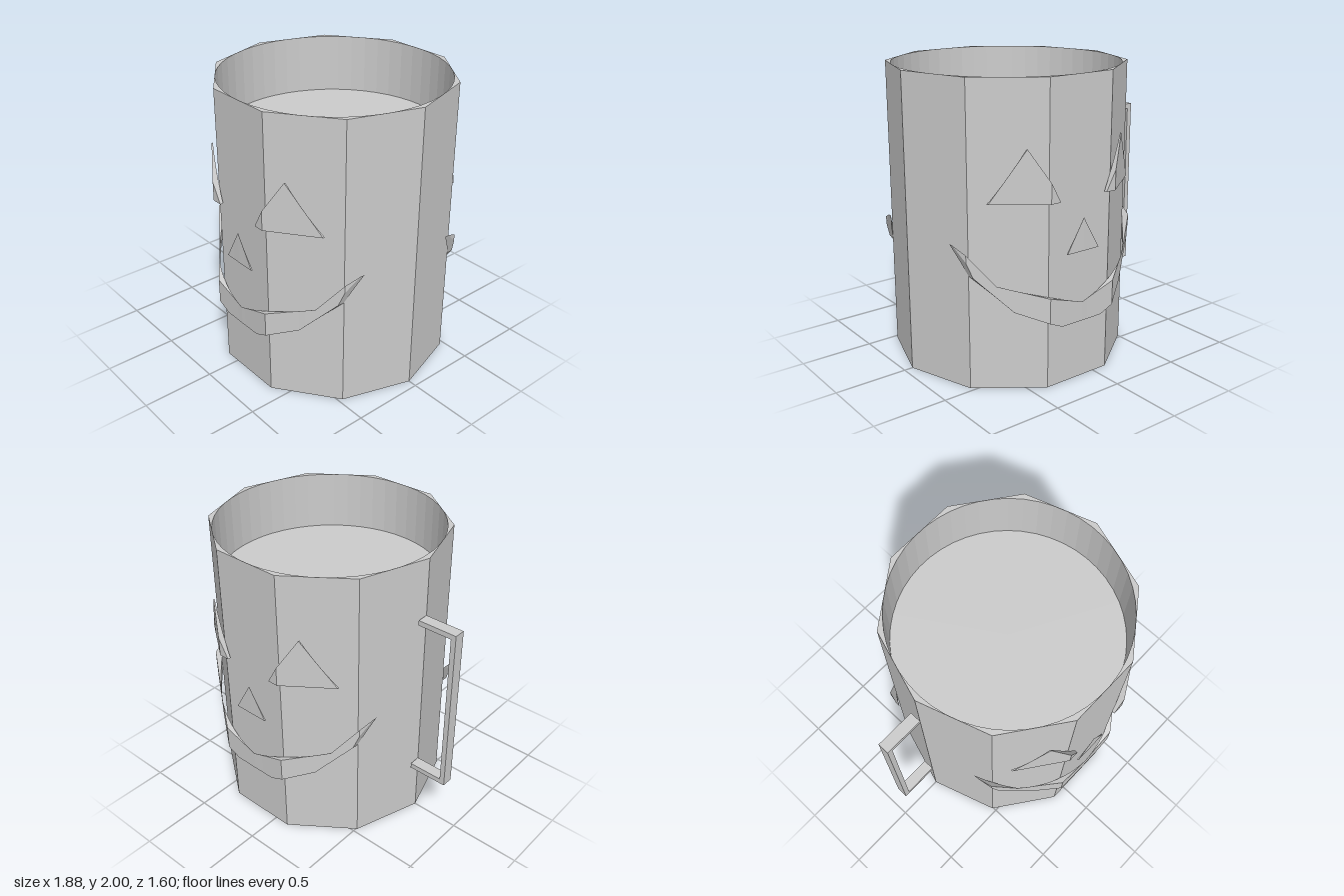
import * as THREE from 'three';

const SIDES = 10, R = 0.8, BORE = 0.76, HEIGHT = 2, FLOOR = 1.6;
const CX = 0.14; // mug axis, shifted so that mug and handle are centred together
const FACE_R = R / Math.cos(Math.PI / SIDES); // ten-sided shell that carries the faces

const grey = (side = THREE.FrontSide) =>
  new THREE.MeshStandardMaterial({ color: 0xcccccc, flatShading: true, side });

function add(parent, name, geometry, material = grey()) {
  const mesh = new THREE.Mesh(geometry, material);
  mesh.name = name;
  parent.add(mesh);
  return mesh;
}

// piecewise linear height of a polyline [[x, y], ...] at x
function along(line, x) {
  for (let i = 1; i < line.length; i++) {
    const [x0, y0] = line[i - 1], [x1, y1] = line[i];
    if (x <= x1 + 1e-9) return y0 + (y1 - y0) * (x - x0) / (x1 - x0);
  }
  return line[line.length - 1][1];
}

// front half outline of the ten-sided shell, as [x, z]
const shell = [];
for (let i = SIDES / 2; i >= 0; i--) {
  const a = i * 2 * Math.PI / SIDES;
  shell.push([FACE_R * Math.cos(a), FACE_R * Math.sin(a)]);
}

// Facial feature between a lower and an upper line: flat facets outside, round inside
function featureGeometry(lower, upper) {
  const x0 = lower[0][0], x1 = lower[lower.length - 1][0];
  const xs = [...lower, ...upper, ...shell].map((p) => p[0]);
  const steps = Math.ceil((x1 - x0) / 0.04);
  for (let i = 0; i <= steps; i++) xs.push(x0 + (x1 - x0) * i / steps);
  const cuts = xs.filter((x) => x >= x0 - 1e-9 && x <= x1 + 1e-9)
    .sort((a, b) => a - b).filter((x, i, s) => i === 0 || x - s[i - 1] > 1e-5);
  const pos = [], index = [];
  cuts.forEach((x, i) => {
    const lo = along(lower, x), hi = along(upper, x);
    const zIn = Math.sqrt(R * R - x * x), zOut = Math.max(along(shell, x), zIn + 0.001);
    pos.push(x, lo, zOut, x, hi, zOut, x, hi, zIn, x, lo, zIn);
    if (i === 0) return;
    for (let k = 0; k < 4; k++) {
      const a = (i - 1) * 4 + k, b = (i - 1) * 4 + (k + 1) % 4;
      index.push(a, a + 4, b, b, a + 4, b + 4);
    }
  });
  const g = new THREE.BufferGeometry();
  g.setAttribute('position', new THREE.Float32BufferAttribute(pos, 3));
  g.setIndex(index);
  g.computeVertexNormals();
  return g;
}

const triangle = (x, y, half, h) =>
  featureGeometry([[x - half, y], [x + half, y]], [[x - half, y], [x, y + h], [x + half, y]]);

function createFace(name) {
  const face = new THREE.Group();
  face.name = name;
  add(face, 'rightEye', triangle(-0.377, 1.24, 0.192, 0.34));
  add(face, 'leftEye', triangle(0.377, 1.24, 0.192, 0.34));
  add(face, 'nose', triangle(0, 0.89, 0.128, 0.22));
  const half = [[0.16, 0.415], [0.442, 0.54], [0.646, 0.77], [0.713, 0.965]];
  const mirror = half.map(([x, y]) => [-x, y]).reverse();
  add(face, 'mouth', featureGeometry(
    [...mirror, ...half],
    [[-0.713, 0.965], [-0.53, 0.715], [0, 0.545], [0.53, 0.715], [0.713, 0.965]]));
  return face;
}

export function createModel() {
  const model = new THREE.Group();
  model.name = 'mug';
  const body = new THREE.Group();
  body.name = 'body';
  body.position.x = CX;
  model.add(body);

  // ten-sided outer wall and base
  add(body, 'outerWall',
    new THREE.CylinderGeometry(R, R, HEIGHT, SIDES, 1, true, Math.PI / 2)).position.y = HEIGHT / 2;
  add(body, 'base', new THREE.CircleGeometry(R, SIDES).rotateX(Math.PI / 2));

  // rim between the ten-sided wall and the round bore
  const rim = new THREE.Shape();
  for (let i = 0; i < SIDES; i++) {
    const a = i * 2 * Math.PI / SIDES;
    rim[i ? 'lineTo' : 'moveTo'](R * Math.cos(a), R * Math.sin(a));
  }
  rim.closePath();
  rim.holes.push(new THREE.Path().absarc(0, 0, BORE, 0, Math.PI * 2, true));
  add(body, 'rim', new THREE.ShapeGeometry(rim, 25).rotateX(-Math.PI / 2)).position.y = HEIGHT;

  // shallow round interior
  add(body, 'innerWall',
    new THREE.CylinderGeometry(BORE, BORE, HEIGHT - FLOOR, 50, 1, true, Math.PI / 2),
    grey(THREE.BackSide)).position.y = (HEIGHT + FLOOR) / 2;
  add(body, 'innerFloor', new THREE.CircleGeometry(BORE, 50).rotateX(-Math.PI / 2)).position.y = FLOOR;

  // the same face on the front and the back
  const front = createFace('frontFace');
  const back = createFace('backFace');
  back.rotation.y = Math.PI;
  body.add(front, back);

  // square C-shaped handle
  const t = 0.036;
  const outline = [[-0.66, 0.4], [-0.66, 0.4 + t], [-0.94 + t, 0.4 + t], [-0.94 + t, 1.6 - t],
    [-0.66, 1.6 - t], [-0.66, 1.6], [-0.94, 1.6], [-0.94, 0.4]];
  const handle = new THREE.Shape(outline.map(([x, y]) => new THREE.Vector2(x, y)));
  add(model, 'handle',
    new THREE.ExtrudeGeometry(handle, { depth: 0.08, bevelEnabled: false })).position.z = -0.08;

  return model;
}
